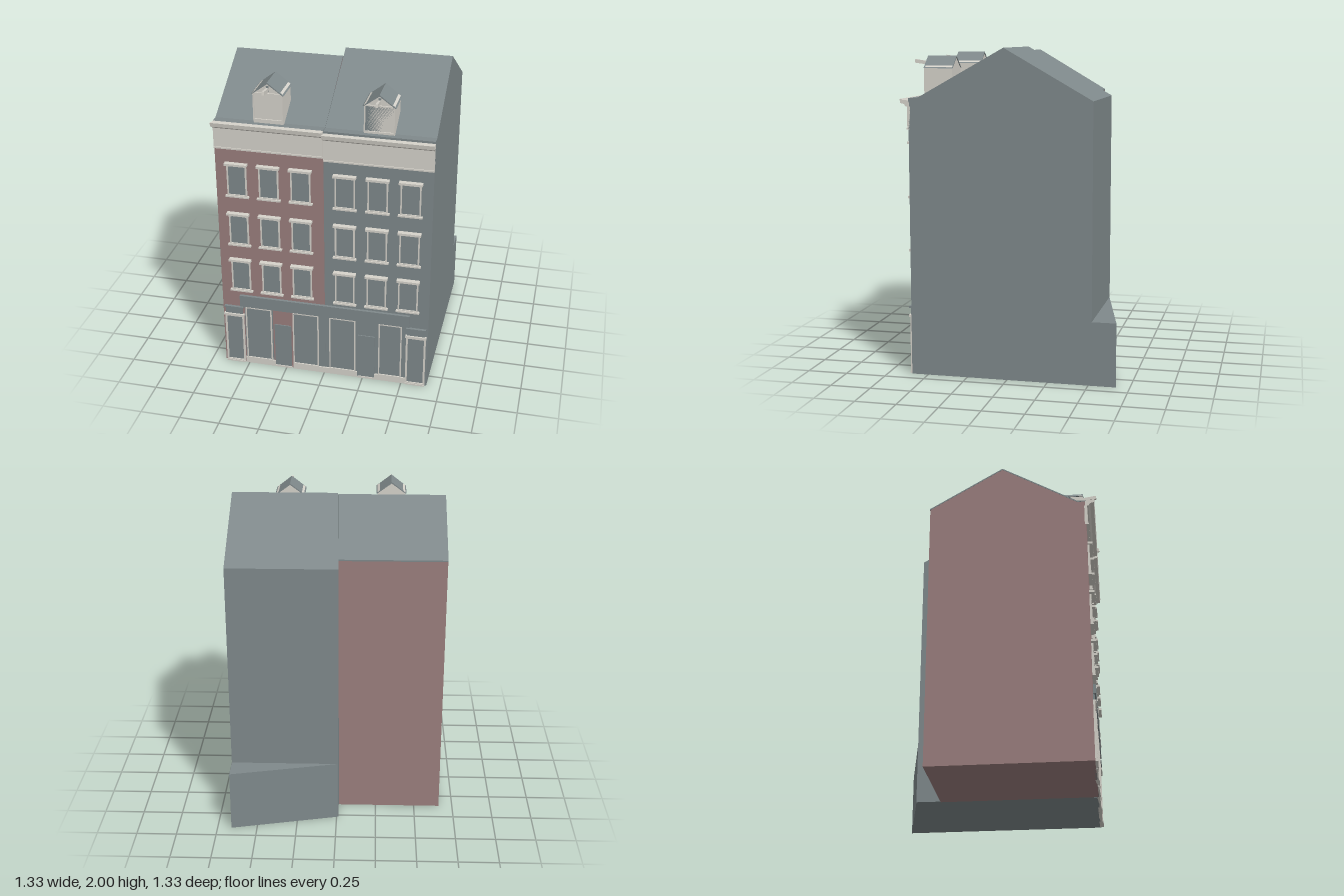
import * as THREE from 'three';

const material = (name, color) => Object.assign(new THREE.MeshStandardMaterial({ color }), { name });
const FRONT = 0.602; // plane of the street facade

export function createModel() {
  const slate = material('slateGrey', 0x7f898b);
  const brick = material('dustyBrick', 0x9b7f7e);
  const cream = material('creamTrim', 0xd6d3cb);
  const root = new THREE.Group();
  root.name = 'terracedHouses';

  const add = (parent, name, geometry, mat) => {
    const mesh = new THREE.Mesh(geometry, mat);
    mesh.name = name;
    parent.add(mesh);
    return mesh;
  };
  const group = (parent, name) => {
    const g = new THREE.Group();
    g.name = name;
    parent.add(g);
    return g;
  };
  // box given by its limits
  const box = (parent, name, mat, x0, x1, y0, y1, z0, z1) => {
    const g = new THREE.BoxGeometry(x1 - x0, y1 - y0, z1 - z0);
    g.translate((x0 + x1) / 2, (y0 + y1) / 2, (z0 + z1) / 2);
    return add(parent, name, g, mat);
  };
  const polygon = (points) => new THREE.Shape(points.map(([a, b]) => new THREE.Vector2(a, b)));
  // (z, y) section swept along x
  const sweep = (parent, name, mat, points, x0, x1) => {
    const g = new THREE.ExtrudeGeometry(polygon(points), { depth: x1 - x0, bevelEnabled: false });
    g.rotateY(-Math.PI / 2);
    g.translate(x1, 0, 0);
    return add(parent, name, g, mat);
  };
  // rectangle with an optional shallow arched head
  const outline = (x0, x1, y0, y1, rise, Type = THREE.Shape) => {
    const s = new Type();
    s.moveTo(x0, y0);
    s.lineTo(x1, y0);
    s.lineTo(x1, y1 - rise);
    if (rise) s.quadraticCurveTo((x0 + x1) / 2, y1 + rise, x0, y1 - rise);
    else s.lineTo(x0, y1);
    s.closePath();
    return s;
  };
  // cream surround with a grey pane inside
  const glazed = (parent, name, x0, x1, y0, y1, rise = 0, t = 0.008, z = FRONT) => {
    const g = group(parent, name);
    const ring = outline(x0, x1, y0, y1, rise);
    ring.holes.push(outline(x0 + t, x1 - t, y0 + t, y1 - t, rise, THREE.Path));
    const frame = new THREE.ExtrudeGeometry(ring, { depth: 0.012, bevelEnabled: false, curveSegments: 6 });
    frame.translate(0, 0, z);
    add(g, 'frame', frame, cream);
    const pane = new THREE.ShapeGeometry(outline(x0 + t, x1 - t, y0 + t, y1 - t, rise), 6);
    pane.translate(0, 0, z + 0.004);
    add(g, 'pane', pane, slate);
    return g;
  };

  // ---- brick house: walls with separate slate roof skin
  const left = group(root, 'brickHouse');
  sweep(left, 'brickWalls', brick, [[FRONT, 0], [FRONT, 1.694], [0.55, 1.694], [0.085, 1.964],
    [-0.37, 1.695], [-0.37, 0]], -0.662, 0.004);
  sweep(left, 'slateRoof', slate, [[FRONT, 1.694], [FRONT, 1.702], [0.55, 1.702], [0.085, 1.972],
    [-0.372, 1.703], [-0.372, 1.694], [0.085, 1.963], [0.55, 1.693]], -0.663, 0.005);

  // ---- grey house, its rear corner drawn slightly past the party wall
  const right = group(root, 'greyHouse');
  const walls = sweep(right, 'greyWallsAndRoof', slate, [[FRONT, 0], [FRONT, 1.7], [0.55, 1.7],
    [0.015, 2], [-0.52, 1.695], [-0.52, 0]], 0.006, 0.662);
  const p = walls.geometry.attributes.position;
  for (let i = 0; i < p.count; i++) {
    if (p.getX(i) < 0.1 && p.getZ(i) < -0.5) p.setX(i, -0.012);
  }
  walls.geometry.computeVertexNormals();

  // wedge-shaped rear annex
  const wedge = new THREE.ExtrudeGeometry(polygon([[-0.012, 0.519], [0.662, 0.519], [0.662, 0.668]]),
    { depth: 0.39, bevelEnabled: false });
  wedge.rotateX(-Math.PI / 2);
  add(right, 'rearAnnex', wedge, slate);

  // ---- upper facades
  const houses = [
    { g: left, x0: -0.663, x1: 0.004, columns: [-0.53, -0.332, -0.135], sills: [0.545, 0.875, 1.213],
      heads: [0.78, 1.105, 1.442], arched: 2, band: 1.54, eave: 1.71, dormer: -0.33, base: 1.722, gable: 1.962 },
    { g: right, x0: 0.006, x1: 0.662, columns: [0.135, 0.333, 0.53], sills: [0.538, 0.866, 1.203],
      heads: [0.77, 1.1, 1.433], arched: 0, band: 1.522, eave: 1.695, dormer: 0.33, base: 1.71, gable: 1.947 },
  ];
  for (const h of houses) {
    h.sills.forEach((y, row) => h.columns.forEach((x) => {
      const top = h.heads[row];
      const w = glazed(h.g, 'window', x - 0.061, x + 0.061, y + 0.008, top - 0.008, row < h.arched ? 0.015 : 0);
      box(w, 'sill', cream, x - 0.073, x + 0.073, y, y + 0.01, FRONT - 0.005, 0.622);
      box(w, 'lintel', cream, x - 0.07, x + 0.07, top - 0.014, top, FRONT - 0.005, 0.634);
    }));

    // frieze and gutter cornice
    const c = group(h.g, 'cornice');
    const e = h.eave;
    box(c, 'frieze', cream, h.x0, h.x1, h.band, e - 0.045, FRONT - 0.01, 0.61);
    box(c, 'friezeMoulding', cream, h.x0, h.x1, h.band - 0.01, h.band, FRONT - 0.01, 0.616);
    sweep(c, 'gutter', cream, [[0.598, e - 0.046], [0.618, e - 0.046], [0.63, e - 0.03], [0.652, e - 0.025],
      [0.656, e], [0.645, e], [0.64, e - 0.008], [0.598, e - 0.008]], h.x0, h.x1);

    // dormer with gable roof and hoisting beam
    const d = group(h.g, 'dormer');
    const x = h.dormer, eave = h.gable - 0.068, half = 0.09;
    const bodyShape = polygon([[x - half, h.base - 0.02], [x + half, h.base - 0.02], [x + half, eave],
      [x, h.gable - 0.01], [x - half, eave]]);
    const body = new THREE.ExtrudeGeometry(bodyShape, { depth: 0.172, bevelEnabled: false });
    body.translate(0, 0, 0.4);
    add(d, 'dormerBody', body, cream);
    const roof = new THREE.ExtrudeGeometry(polygon([[x - 0.098, eave - 0.008], [x - 0.09, eave - 0.008],
      [x, h.gable - 0.01], [x + 0.09, eave - 0.008], [x + 0.098, eave - 0.008], [x, h.gable]]),
      { depth: 0.185, bevelEnabled: false });
    roof.translate(0, 0, 0.396);
    add(d, 'dormerRoof', roof, slate);
    glazed(d, 'dormerWindow', x - half, x + half, h.base, eave, 0, 0.007, 0.568);
    box(d, 'gableSlot', slate, x - 0.008, x + 0.008, eave + 0.008, eave + 0.045, 0.57, 0.576);
    const beam = box(d, 'hoistBeam', cream, -0.007, 0.007, -0.011, 0.011, -0.05, 0.05);
    beam.position.set(x, eave + 0.027, 0.615);
    beam.rotation.x = -0.15;
  }

  // ---- shopfronts across the ground floor
  const shop = group(root, 'shopfront');
  box(shop, 'signBoard', slate, -0.545, 0.545, 0.435, 0.512, FRONT - 0.01, 0.62);
  box(shop, 'signBoardLedge', slate, -0.545, 0.545, 0.428, 0.436, FRONT - 0.01, 0.614);
  for (const [x0, x1] of [[-0.52, -0.335], [-0.205, 0.006]]) {
    box(shop, 'shopBacking', slate, x0, x1, 0, 0.435, FRONT - 0.01, FRONT + 0.002);
  }
  for (const [x0, x1] of [[-0.512, -0.342], [-0.203, -0.035], [0.035, 0.203], [0.352, 0.498]]) {
    glazed(shop, 'shopWindow', x0, x1, 0.04, 0.428, 0, 0.007, FRONT + 0.001);
  }
  for (const [x0, x1] of [[-0.52, -0.325], [-0.205, 0.215], [0.328, 0.525]]) {
    box(shop, 'plinth', cream, x0, x1, 0, 0.04, FRONT - 0.01, 0.612);
  }
  for (const x of [-0.27, 0.273]) {
    box(shop, 'shopDoor', slate, x - 0.054, x + 0.054, 0.012, 0.32, FRONT - 0.01, 0.609);
    box(shop, 'doorStep', cream, x - 0.054, x + 0.054, 0, 0.012, FRONT - 0.01, 0.614);
  }

  // house doors at the outer ends, each under a small hood
  for (const s of [-1, 1]) {
    const door = group(shop, 'houseDoor');
    const x = s * 0.588;
    glazed(door, 'doorLeaf', x - 0.062, x + 0.062, 0.006, 0.358, 0, 0.011);
    box(door, 'doorHood', cream, x - 0.066, x + 0.066, 0.356, 0.37, FRONT - 0.01, 0.622);
    box(door, 'transom', slate, x - 0.055, x + 0.055, 0.37, 0.412, FRONT - 0.01, 0.612);
    box(door, 'transomLedge', slate, x - 0.062, x + 0.062, 0.412, 0.424, FRONT - 0.01, 0.62);
    box(door, 'doorStep', cream, x - 0.062, x + 0.062, 0, 0.01, FRONT - 0.01, 0.618);
  }
  return root;
}
